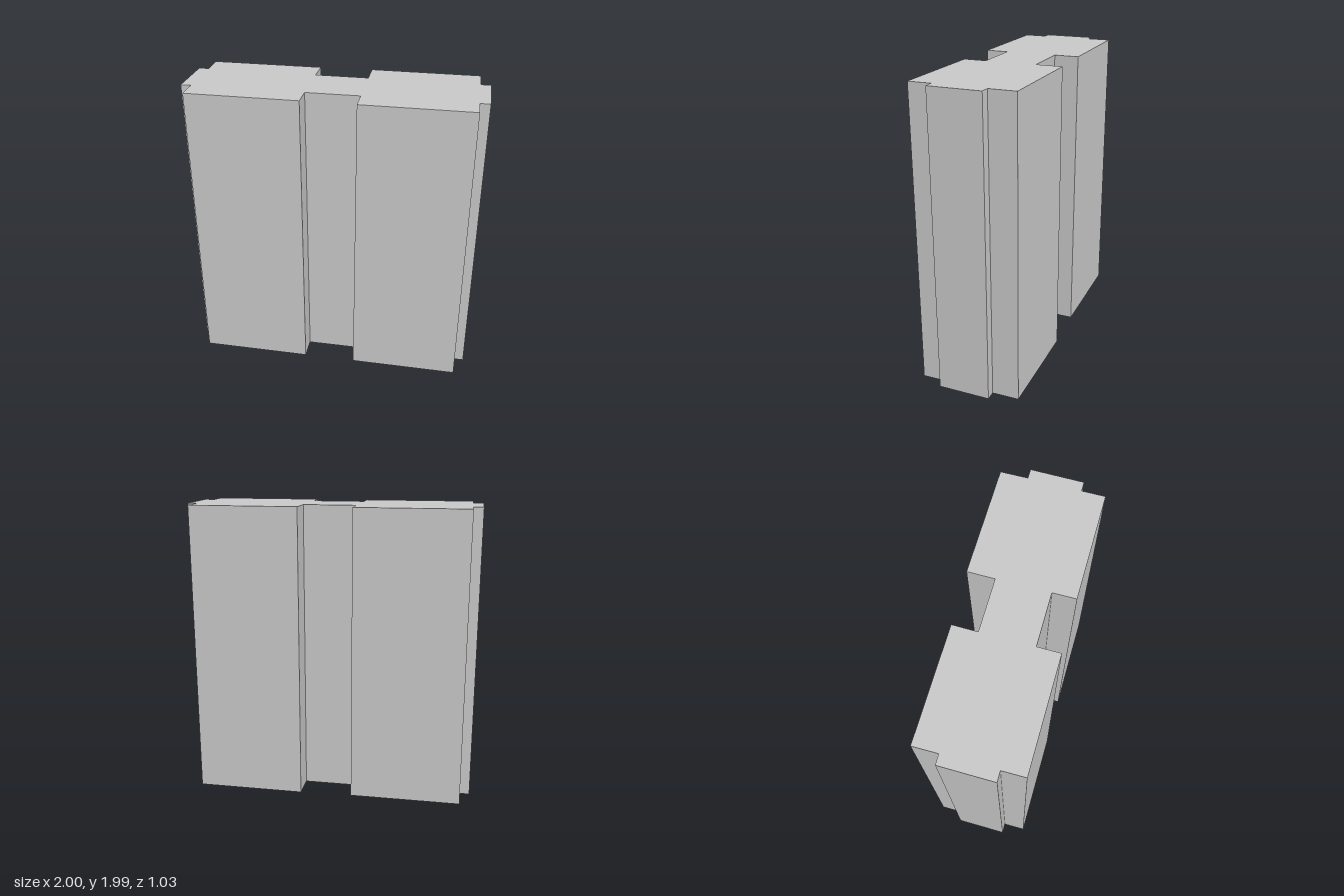
import * as THREE from 'three';

// Plan outline as [x, z]: two blocks joined by a narrow web, with a tongue at each end
const OUTLINE = [
  // back face, left block, web, right block
  [-0.828, -0.519], [-0.093, -0.364], [-0.129, -0.203], [0.218, -0.13], [0.256, -0.304], [0.971, -0.151],
  // tongue on the +x end
  [0.936, 0.023], [1, 0.037], [0.926, 0.377], [0.862, 0.364],
  // front face
  [0.831, 0.514], [0.116, 0.361], [0.148, 0.211], [-0.2, 0.138], [-0.232, 0.286], [-0.964, 0.13],
  // tongue on the -x end
  [-0.933, -0.018], [-1, -0.031], [-0.926, -0.373], [-0.861, -0.361],
];
const HEIGHT = 1.99;

export function createModel() {
  const group = new THREE.Group();
  group.name = 'notchedBlock';

  // Draw the plan with z flipped, then stand the extrusion upright
  const shape = new THREE.Shape(OUTLINE.map(([x, z]) => new THREE.Vector2(x, -z)));
  const geometry = new THREE.ExtrudeGeometry(shape, { depth: HEIGHT, bevelEnabled: false });
  geometry.rotateX(-Math.PI / 2);

  const body = new THREE.Mesh(
    geometry,
    new THREE.MeshStandardMaterial({ color: 0xcccccc, flatShading: true })
  );
  body.name = 'extrudedBody';
  group.add(body);
  return group;
}
